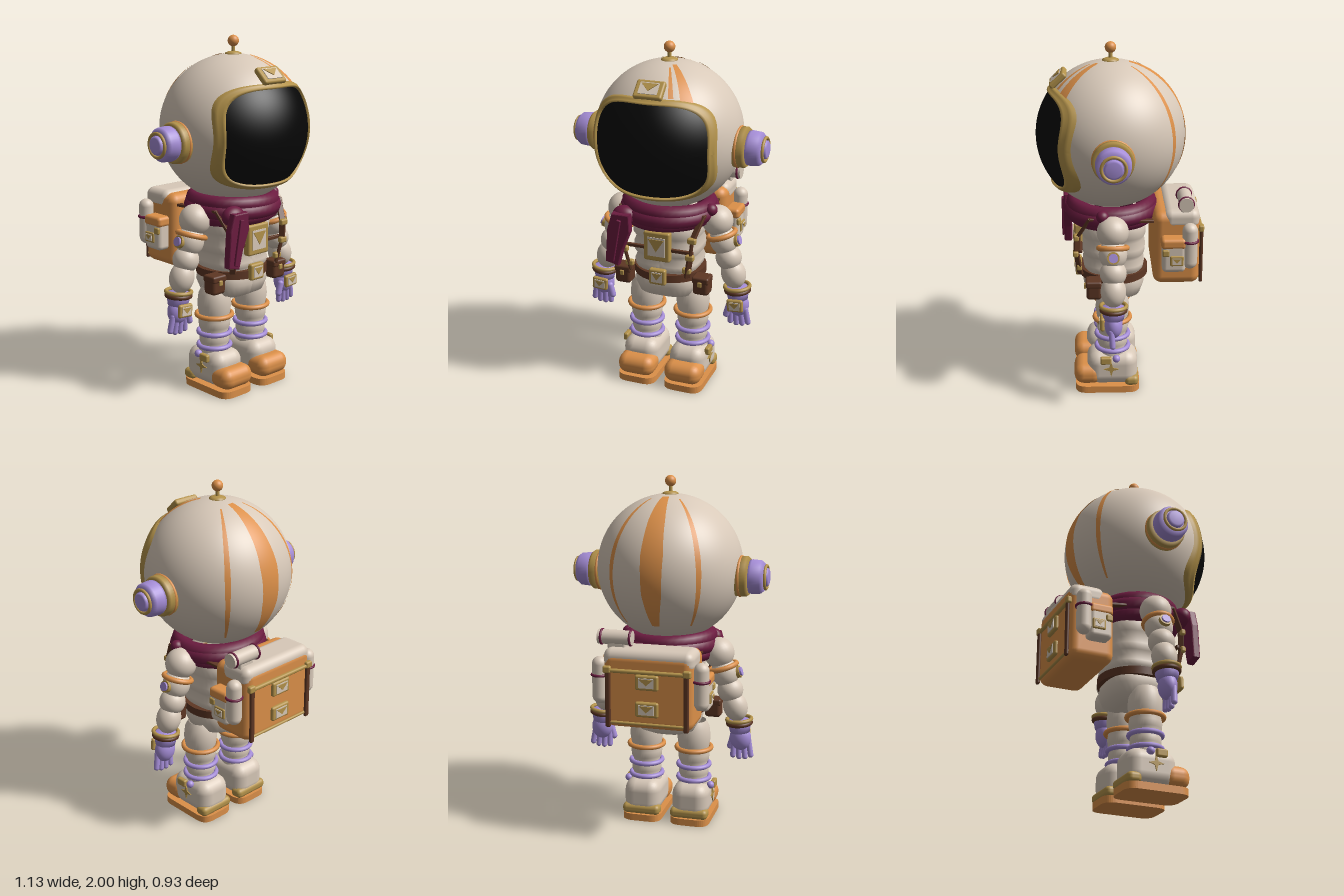
import * as THREE from 'three';
import { RoundedBoxGeometry } from 'three/addons/geometries/RoundedBoxGeometry.js';

const mat = (name, color) => {
  const m = new THREE.MeshStandardMaterial({ color, side: THREE.DoubleSide });
  m.name = name;
  return m;
};

export function createModel() {
  const cream = mat('cream fabric', 0xd8c9b9), orange = mat('orange', 0xdc9049), purple = mat('lavender', 0xa68ed8);
  const gold = mat('old gold', 0xb4934b), brown = mat('brown leather', 0x5e3724), maroon = mat('maroon cloth', 0x6c1c40);
  const black = mat('black glass', 0x070707);
  const model = new THREE.Group();
  model.name = 'astronaut';

  // ---- helpers ----
  const add = (parent, name, geo, material, p = [0, 0, 0], r = [0, 0, 0], s = [1, 1, 1]) => {
    const m = new THREE.Mesh(geo, material);
    m.name = name;
    m.position.set(...p);
    m.rotation.set(...r);
    m.scale.set(...s);
    parent.add(m);
    return m;
  };
  const group = (parent, name, p = [0, 0, 0], r = [0, 0, 0]) => {
    const g = new THREE.Group();
    g.name = name;
    g.position.set(...p);
    g.rotation.set(...r);
    parent.add(g);
    return g;
  };
  const box = (w, h, d, r = 0.01) => new RoundedBoxGeometry(w, h, d, 3, Math.min(r, w / 2.1, h / 2.1, d / 2.1));
  const ball = r => new THREE.SphereGeometry(r, 28, 18);
  const cyl = (r, h) => new THREE.CylinderGeometry(r, r, h, 32);
  const ring = (R, t) => new THREE.TorusGeometry(R, t, 10, 40).rotateX(Math.PI / 2);
  const lathe = pts => new THREE.LatheGeometry(pts.map(p => new THREE.Vector2(...p)), 40);
  const outline = pts => new THREE.Shape(pts.map(p => new THREE.Vector2(...p)));
  const flat = (pts, depth) => new THREE.ExtrudeGeometry(outline(pts), { depth, bevelEnabled: false });
  const surface = (m, n, fn) => {
    const g = new THREE.PlaneGeometry(1, 1, m, n), a = g.attributes.position;
    for (let i = 0; i < a.count; i++) a.setXYZ(i, ...fn(a.getX(i) + 0.5, a.getY(i) + 0.5));
    g.computeVertexNormals();
    return g;
  };
  const strap = (parent, name, a, b, w, t, material = brown) => {
    const A = new THREE.Vector3(...a), B = new THREE.Vector3(...b);
    const m = add(parent, name, box(w, t, A.distanceTo(B) + 0.01, 0.004), material);
    m.position.copy(A).lerp(B, 0.5);
    m.lookAt(B);
  };
  const badge = (parent, name, w, h, d, p, r) => {
    const g = group(parent, name, p, r), a = w * 0.33, b = h * 0.32;
    add(g, 'badgeFrame', box(w, h, d, 0.012), gold);
    add(g, 'badgePlate', new THREE.BoxGeometry(a * 2, b * 2, 0.008), cream, [0, 0, d / 2]);
    add(g, 'badgeTriangle', flat([[-a * 0.9, b * 0.8], [0, -b * 0.5], [a * 0.9, b * 0.8]], 0.004), gold, [0, 0, d / 2 + 0.004]);
  };

  // ---- helmet ----
  const R = 0.41, helmet = group(model, 'helmet', [0, 1.49, 0.048]);
  add(helmet, 'helmetShell', new THREE.SphereGeometry(R, 80, 56), cream);
  // point on the dome for a rounded-rectangle outline of relative size k
  const onVisor = (u, k, r) => {
    const t = u * Math.PI * 2, c = Math.cos(t), s = Math.sin(t), n = 3.4;
    const q = k / Math.pow(Math.abs(c / 0.347) ** n + Math.abs(s / 0.282) ** n, 1 / n);
    const x = c * q, y = s * q - 0.008;
    return [x, y, Math.sqrt(r * r - x * x - y * y)];
  };
  add(helmet, 'visor', surface(96, 20, (u, v) => onVisor(u, v * 0.95, 0.414)), black);
  const rim = [[1, 0.406], [1, 0.42], [0.985, 0.426], [0.96, 0.42], [0.945, 0.428], [0.915, 0.428], [0.9, 0.41]];
  add(helmet, 'visorFrame', surface(96, rim.length - 1, (u, v) => onVisor(u, ...rim[Math.round(v * (rim.length - 1))])), gold);

  // painted stripes along meridians: azimuth, polar start and end, half widths
  const stripe = (az, t0, t1, ...w) => add(helmet, 'helmetStripe', surface(8, 32, (u, v) => {
    const t = THREE.MathUtils.degToRad(t0 + (t1 - t0) * v), k = v * (w.length - 1), i = Math.min(Math.floor(k), w.length - 2);
    const half = w[i] + (w[i + 1] - w[i]) * (k - i), a = az * Math.PI / 180 + (u - 0.5) * 2 * half / (R * Math.sin(t)), r = R + 0.004;
    return [r * Math.sin(t) * Math.sin(a), r * Math.cos(t), r * Math.sin(t) * Math.cos(a)];
  }), orange);
  stripe(180, 14, 132, 0.018, 0.045, 0.062, 0.055, 0.02);
  for (const s of [-1, 1]) stripe(180 + s * 36, 19, 132, 0.004, 0.012, 0.016, 0.013, 0.005);
  stripe(37, 13, 54, 0.011, 0.036);
  stripe(22, 17, 48, 0.004, 0.014);
  badge(helmet, 'helmetBadge', 0.16, 0.11, 0.035, [0, 0.312, 0.286], [-0.82, 0, 0]);
  add(helmet, 'antennaBase', lathe([[0, 0.4], [0.045, 0.4], [0.045, 0.413], [0.03, 0.42], [0, 0.425]]), gold);
  add(helmet, 'antennaStem', cyl(0.01, 0.07), gold, [0, 0.44, 0]);
  add(helmet, 'antennaTip', ball(0.031), orange, [0, 0.479, 0]);

  // ear pods
  for (const s of [-1, 1]) {
    const ear = group(model, 'earPod', [s * 0.38, 1.455, 0.045], [0, 0, -s * Math.PI / 2]);
    add(ear, 'earCollar', lathe([[0, 0], [0.112, 0], [0.112, 0.06], [0.1, 0.076], [0, 0.076]]), gold);
    add(ear, 'earBand', ring(0.106, 0.01), orange, [0, 0.025, 0]);
    add(ear, 'earCup', lathe([[0, 0.07], [0.092, 0.07], [0.096, 0.09], [0.092, 0.14], [0.075, 0.16], [0, 0.16]]), purple);
    add(ear, 'earRing', ring(0.064, 0.009), gold, [0, 0.166, 0]);
    add(ear, 'earButton', lathe([[0.05, 0.155], [0.05, 0.176], [0.04, 0.183], [0, 0.183]]), purple);
  }

  // ---- torso: puffy rolls with a squarish section ----
  const torsoGeo = lathe([[0.02, 0.525], [0.1, 0.53], [0.165, 0.56], [0.188, 0.62], [0.18, 0.67], [0.165, 0.695], [0.185, 0.72], [0.19, 0.75],
    [0.175, 0.785], [0.192, 0.81], [0.196, 0.85], [0.18, 0.89], [0.198, 0.92], [0.2, 0.97], [0.18, 1.02], [0.12, 1.08]]);
  const tp = torsoGeo.attributes.position;
  for (let i = 0; i < tp.count; i++) {
    const x = tp.getX(i), z = tp.getZ(i), r = Math.hypot(x, z);
    const k = 1 / Math.cbrt(Math.abs(x / r) ** 3 + Math.abs(z / r) ** 3);
    tp.setX(i, x * k);
    tp.setZ(i, z * k * 0.92);
  }
  torsoGeo.computeVertexNormals();
  add(model, 'torso', torsoGeo, cream, [0, 0, 0.035]);
  add(model, 'crotch', ball(0.08), cream, [0, 0.56, 0.035], [0, 0, 0], [1, 0.5, 1]);
  add(model, 'belt', new THREE.CylinderGeometry(0.208, 0.208, 0.045, 48), brown, [0, 0.685, 0.035], [0, 0, 0], [1, 1, 0.94]);
  badge(model, 'beltBuckle', 0.1, 0.095, 0.035, [0, 0.7, 0.235]);
  badge(model, 'chestBadge', 0.155, 0.175, 0.045, [0, 0.888, 0.235]);
  strap(model, 'chestStrap', [-0.2, 0.865, 0.222], [0.2, 0.865, 0.222], 0.018, 0.02);
  for (const s of [-1, 1]) {
    add(model, 'beltPouch', box(0.095, 0.105, 0.085, 0.02), brown, [s * 0.235, 0.652, 0.15]);
    add(model, 'pouchFlap', box(0.1, 0.04, 0.09, 0.012), brown, [s * 0.235, 0.69, 0.152]);
    add(model, 'pouchStud', box(0.025, 0.03, 0.012, 0.005), gold, [s * 0.235, 0.67, 0.2]);
    const path = [[s * 0.24, 1.07, 0.17], [s * 0.205, 0.95, 0.24], [s * 0.195, 0.85, 0.245], [s * 0.17, 0.72, 0.225]];
    for (let i = 0; i < 3; i++) {
      strap(model, 'harnessStrap', path[i], path[i + 1], 0.035, 0.016);
      add(model, 'harnessClip', box(0.05, 0.035, 0.03), gold, [path[i + 1][0], path[i + 1][1] + (i === 2 ? 0.04 : 0), path[i + 1][2] + 0.005]);
    }
    strap(model, 'shoulderStrap', path[0], [s * 0.2, 1.04, -0.2], 0.035, 0.016);
  }

  // ---- scarf ----
  [[1.095, 0.226, 0.045], [1.06, 0.235, 0.048], [1.025, 0.225, 0.042]].forEach(([y, r, t], i) =>
    add(model, 'scarfFold', ring(r, t), maroon, [0, y, 0.045], [i === 1 ? 0.03 : 0, 0, (i - 1) * 0.04], [1, 1, 0.94]));
  add(model, 'scarfKnot', ball(0.07), maroon, [-0.19, 1.05, 0.25], [0, 0, 0], [1, 0.8, 0.75]);
  add(model, 'scarfKnotEnd', ball(0.035), maroon, [0.265, 1.09, 0.1]);
  const tail = outline([[-0.235, 1.07], [-0.262, 0.98], [-0.275, 0.79], [-0.21, 0.775], [-0.185, 0.87], [-0.14, 0.98], [-0.145, 1.07]]);
  add(model, 'scarfTail', new THREE.ExtrudeGeometry(tail, { depth: 0.022, bevelThickness: 0.012, bevelSize: 0.008, bevelSegments: 4 }), maroon, [0, 0, 0.285]);
  strap(model, 'scarfPleat', [-0.195, 1.04, 0.317], [-0.238, 0.8, 0.317], 0.03, 0.025, maroon);

  for (const s of [-1, 1]) {
    // ---- arm ----
    const arm = group(model, 'arm', [s * 0.285, 1.01, 0.045], [0, 0, s * 0.31]);
    add(arm, 'shoulder', ball(0.088), cream);
    add(arm, 'upperArm', ball(0.078), cream, [0, -0.12, 0], [0, 0, 0], [1, 1.1, 1]);
    add(arm, 'armBand', ring(0.077, 0.015), orange, [0, -0.085, 0]);
    add(arm, 'armButtonRim', cyl(0.034, 0.02), gold, [s * 0.077, -0.135, 0], [0, 0, Math.PI / 2]);
    add(arm, 'armButton', cyl(0.025, 0.035), purple, [s * 0.08, -0.135, 0], [0, 0, Math.PI / 2]);
    add(arm, 'elbow', ball(0.074), cream, [0, -0.225, 0]);
    add(arm, 'forearm', ball(0.07), cream, [0, -0.325, 0], [0, 0, 0], [1, 1.25, 1]);
    // ---- glove ----
    const hand = group(model, 'glove', [s * 0.41, 0.6, 0.045], [0, 0, s * 0.08]);
    add(hand, 'cuffBand', ring(0.064, 0.014), brown, [0, 0.004, 0]);
    add(hand, 'cuffRing', ring(0.07, 0.011), gold, [0, 0.025, 0]);
    add(hand, 'gloveCuff', lathe([[0, 0.02], [0.06, 0.02], [0.064, -0.01], [0.056, -0.05], [0, -0.06]]), purple);
    add(hand, 'palm', ball(0.062), purple, [0, -0.085, 0], [0, 0, 0], [1, 1.2, 0.8]);
    for (let i = 0; i < 4; i++) {
      const x = (i - 1.5) * 0.032;
      add(hand, 'finger', new THREE.CapsuleGeometry(0.0165, 0.085, 6, 14), purple, [x, -0.165 + Math.abs(x) * 0.3, 0.01], [0.08, 0, x * 2]);
    }
    add(hand, 'thumb', new THREE.CapsuleGeometry(0.019, 0.06, 6, 14), purple, [-s * 0.058, -0.115, 0.025], [0, 0, -s * 0.35]);
    badge(hand, 'gloveBadge', 0.095, 0.075, 0.025, [0, -0.07, 0.062]);

    // ---- leg ----
    const leg = group(model, 'leg', [s * 0.143, 0, 0.045]);
    add(leg, 'paddedLeg', lathe([[0.07, 0.6], [0.09, 0.56], [0.097, 0.5], [0.09, 0.45], [0.085, 0.43], [0.092, 0.4], [0.088, 0.365], [0.076, 0.34],
      [0.086, 0.31], [0.086, 0.28], [0.076, 0.255], [0.09, 0.23], [0.08, 0.19]]), cream);
    add(leg, 'thighBand', ring(0.1, 0.014), orange, [0, 0.435, 0]);
    for (const y of [0.332, 0.253]) add(leg, 'shinRing', ring(0.09, 0.014), purple, [0, y, 0]);

    // ---- boot ----
    const sole = new THREE.Shape(), w = 0.115, d = 0.185, r = 0.07;
    sole.moveTo(-w + r, -d).lineTo(w - r, -d).quadraticCurveTo(w, -d, w, -d + r).lineTo(w, d - r).quadraticCurveTo(w, d, w - r, d)
      .lineTo(-w + r, d).quadraticCurveTo(-w, d, -w, d - r).lineTo(-w, -d + r).quadraticCurveTo(-w, -d, -w + r, -d);
    add(leg, 'sole', new THREE.ExtrudeGeometry(sole, { depth: 0.04, bevelEnabled: false, curveSegments: 10 }).rotateX(-Math.PI / 2), orange, [0, 0, 0.03]);
    add(leg, 'bootUpper', box(0.216, 0.205, 0.29, 0.07), cream, [0, 0.137, 0.002]);
    add(leg, 'toeCap', box(0.222, 0.122, 0.16, 0.055), orange, [0, 0.102, 0.142]);
    add(leg, 'heelGuard', box(0.222, 0.06, 0.08, 0.025), gold, [0, 0.066, -0.108]);
    const star = Array.from({ length: 8 }, (_, i) => {
      const q = i % 2 ? 0.014 : 0.045;
      return [q * Math.sin(i * Math.PI / 4), q * Math.cos(i * Math.PI / 4)];
    });
    add(leg, 'bootStar', flat(star, 0.008), gold, [s * 0.106, 0.15, 0.01], [0, s * Math.PI / 2, 0]);
    add(leg, 'bootBuckle', box(0.03, 0.045, 0.065), gold, [s * 0.112, 0.207, 0.04]);
    add(leg, 'bootStud', ball(0.022), purple, [s * 0.105, 0.215, -0.02]);
  }

  // ---- backpack ----
  const pack = group(model, 'backpack');
  add(pack, 'packBody', box(0.5, 0.425, 0.26, 0.05), orange, [0, 0.888, -0.31]);
  add(pack, 'packLid', box(0.504, 0.115, 0.2, 0.045), cream, [0, 1.058, -0.337]);
  add(pack, 'packTopBar', box(0.46, 0.022, 0.025), gold, [0, 1.0, -0.444]);
  add(pack, 'packLowerBar', box(0.46, 0.016, 0.016), gold, [0, 0.71, -0.442]);
  for (const y of [0.945, 0.795]) badge(pack, 'packBuckle', 0.13, 0.085, 0.03, [0, y, -0.443], [0, Math.PI, 0]);
  for (const s of [-1, 1]) {
    add(pack, 'packStrap', box(0.03, 0.34, 0.02), brown, [s * 0.218, 0.852, -0.447]);
    add(pack, 'packCorner', box(0.045, 0.04, 0.03), gold, [s * 0.222, 1.005, -0.445]);
    add(pack, 'sidePocket', box(0.09, 0.19, 0.13, 0.025), cream, [s * 0.275, 0.872, -0.29]);
    add(pack, 'pocketFlap', box(0.098, 0.06, 0.138, 0.02), orange, [s * 0.275, 0.945, -0.288]);
    add(pack, 'pocketClip', box(0.02, 0.04, 0.04), gold, [s * 0.318, 0.895, -0.245]);
    badge(pack, 'pocketBadge', 0.075, 0.06, 0.016, [s * 0.32, 0.85, -0.305], [0, s * Math.PI / 2, 0]);
    add(pack, 'tank', new THREE.CapsuleGeometry(0.042, 0.18, 8, 24), cream, [s * 0.285, 0.925, -0.378]);
    add(pack, 'tankRing', ring(0.042, 0.008), maroon, [s * 0.285, 0.955, -0.378]);
  }
  add(pack, 'bedroll', cyl(0.04, 0.19), cream, [0.2, 1.163, -0.355], [0, 0, Math.PI / 2]);
  for (const x of [0.112, 0.275]) add(pack, 'bedrollRing', ring(0.039, 0.007), maroon, [x, 1.163, -0.355], [0, 0, Math.PI / 2]);
  add(pack, 'bedrollMount', box(0.1, 0.04, 0.05), cream, [0.19, 1.12, -0.355]);
  return model;
}
